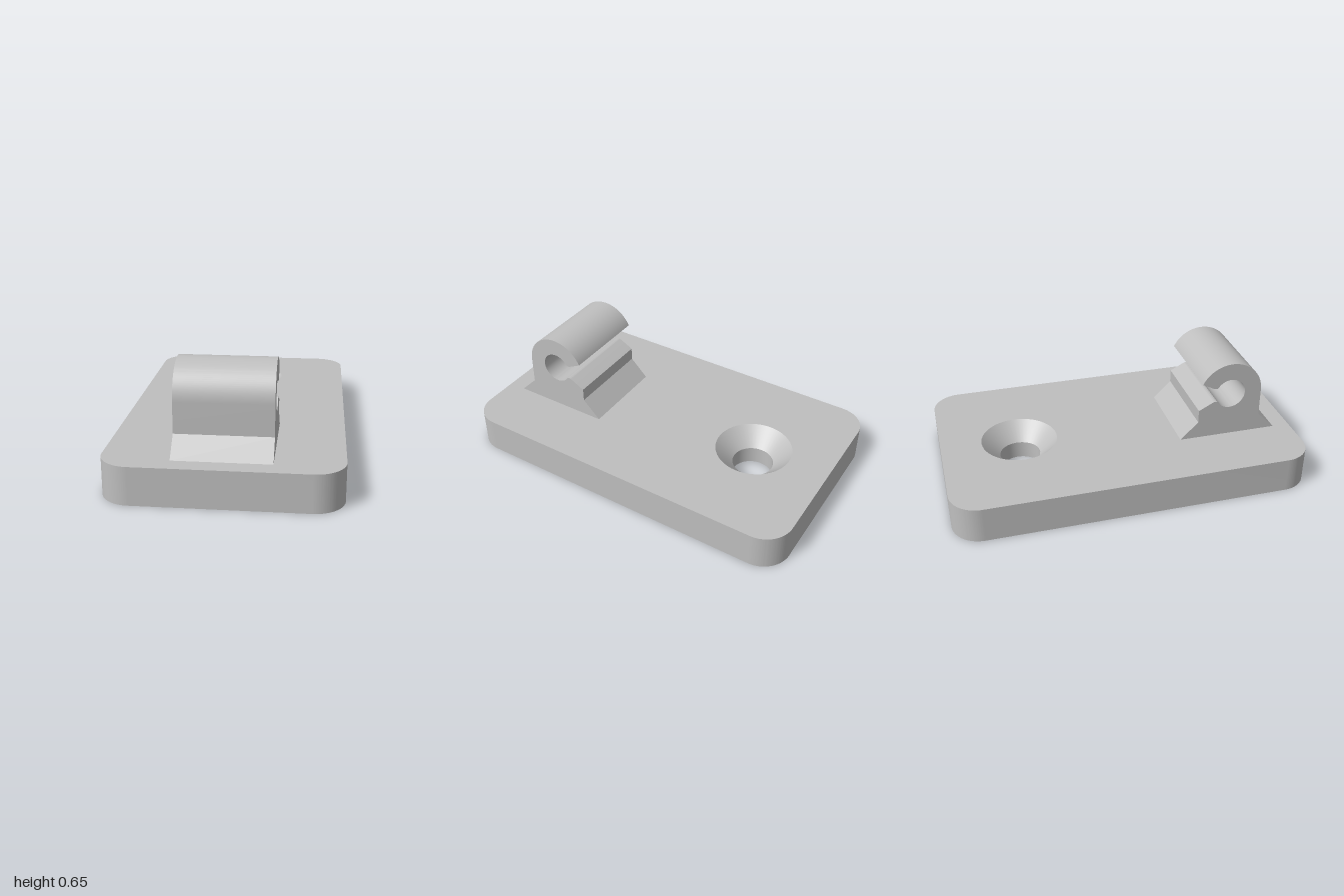
import * as THREE from 'three';
import { toCreasedNormals } from 'three/addons/utils/BufferGeometryUtils.js';

const HOLE = { z: -0.555, top: 0.215, bottom: 0.115 };

// Rounded base plate with a countersunk screw hole
function plateGeometry() {
  const w = 0.6, l = 1, r = 0.16;
  const shape = new THREE.Shape();
  shape.moveTo(w, -l + r);
  shape.absarc(w - r, l - r, r, 0, Math.PI / 2);
  shape.absarc(-w + r, l - r, r, Math.PI / 2, Math.PI);
  shape.absarc(-w + r, -l + r, r, Math.PI, Math.PI * 1.5);
  shape.absarc(w - r, -l + r, r, Math.PI * 1.5, Math.PI * 2);
  shape.holes.push(new THREE.Path().absarc(0, -HOLE.z, HOLE.top, 0, Math.PI * 2, true));

  const geo = new THREE.ExtrudeGeometry(shape, { depth: 0.2, steps: 2, bevelEnabled: false, curveSegments: 24 });
  geo.rotateX(-Math.PI / 2);

  // Narrow the lower half of the hole, leaving a cone above a straight bore
  const p = geo.attributes.position;
  for (let i = 0; i < p.count; i++) {
    const x = p.getX(i), dz = p.getZ(i) - HOLE.z;
    if (Math.hypot(x, dz) < 0.25 && p.getY(i) < 0.15) {
      const k = HOLE.bottom / HOLE.top;
      p.setX(i, x * k);
      p.setZ(i, HOLE.z + dz * k);
    }
  }
  return toCreasedNormals(geo, 0.5);
}

// Snap clip: side profile drawn with -z to the right, extruded across x
function clipGeometry() {
  const cx = -0.617, cy = 0.462, bore = 0.087, outer = 0.185;
  const a = Math.PI / 6, lip = THREE.MathUtils.degToRad(25);
  const width = 0.5;
  const s = new THREE.Shape();
  s.moveTo(-0.902, 0.2);
  s.lineTo(-0.332, 0.2);
  s.lineTo(-0.434, 0.3);
  s.lineTo(-0.434, 0.375);
  s.lineTo(-0.515, 0.417);
  s.quadraticCurveTo(-0.528, 0.424, cx + bore * Math.cos(a), cy - bore * Math.sin(a));
  s.absarc(cx, cy, bore, -a, a, true);
  s.quadraticCurveTo(-0.528, 0.5, -0.515, 0.507);
  s.lineTo(cx + outer * Math.cos(lip), cy + outer * Math.sin(lip));
  s.absarc(cx, cy, outer, lip, Math.PI, false);
  s.lineTo(-0.802, 0.3);
  s.closePath();

  const geo = new THREE.ExtrudeGeometry(s, { depth: width, bevelEnabled: false, curveSegments: 24 });
  geo.translate(0, 0, -width / 2);
  geo.rotateY(Math.PI / 2);
  return toCreasedNormals(geo, 0.5);
}

export function createModel() {
  const grey = new THREE.MeshStandardMaterial({ color: 0xbfbfbf });
  grey.name = 'grey';

  const model = new THREE.Group();
  model.name = 'clipMount';
  const parts = { basePlate: plateGeometry(), snapClip: clipGeometry() };
  for (const [name, geometry] of Object.entries(parts)) {
    const mesh = new THREE.Mesh(geometry, grey);
    mesh.name = name;
    model.add(mesh);
  }
  return model;
}
